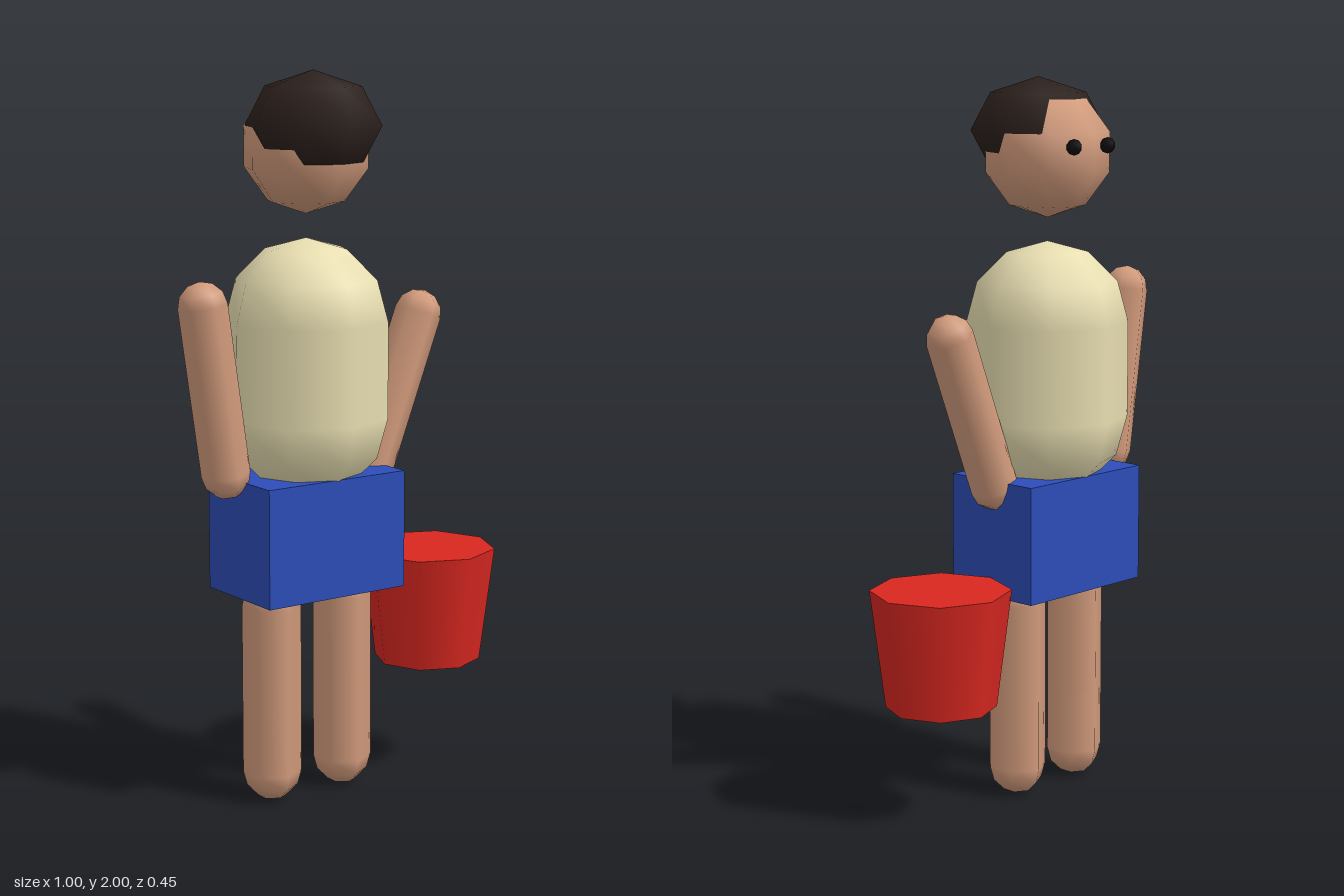
import * as THREE from 'three';

const CX = -0.113; // centre line of the figure

const mat = (color) => new THREE.MeshStandardMaterial({ color });
const skin = mat(0xd29b7c);
const cream = mat(0xe9dfb2);
const blue = mat(0x2c4db8);
const red = mat(0xd92720);
const darkHair = mat(0x2a1f1b);
const black = mat(0x0c0c0c);

export function createModel() {
  const group = new THREE.Group();

  function add(name, geometry, material, x, y, z = 0) {
    const mesh = new THREE.Mesh(geometry, material);
    mesh.name = name;
    mesh.position.set(x, y, z);
    group.add(mesh);
    return mesh;
  }

  // Rounded limb with corners facing front and back
  const capsule = (radius, total, sides) =>
    new THREE.CapsuleGeometry(radius, total - 2 * radius, 3, sides).rotateY(Math.PI / 2);

  // Torso and shorts
  add('torso', capsule(0.224, 0.71, 8), cream, CX, 1.2);
  add('shorts', new THREE.BoxGeometry(0.445, 0.325, 0.298), blue, CX, 0.753);

  // Legs
  for (const [name, side] of [['leftLeg', 1], ['rightLeg', -1]]) {
    add(name, capsule(0.081, 0.635, 6), skin, CX + side * 0.118, 0.32);
  }

  // Arms, leaning outwards
  add('leftArm', capsule(0.066, 0.588, 6), skin, 0.182, 1.11).rotation.z = -0.375;
  add('rightArm', capsule(0.066, 0.594, 6), skin, -0.408, 1.166).rotation.z = 0.145;

  // Head, with the hair as a flattened ball set towards the back
  add('head', new THREE.SphereGeometry(0.178, 8, 5), skin, CX, 1.797);
  add('hair', new THREE.SphereGeometry(0.185, 8, 4), darkHair, CX, 1.855, 0.035)
    .scale.y = 0.145 / 0.185;

  // Eyes
  for (const [name, side] of [['eyeA', -1], ['eyeB', 1]]) {
    const eye = new THREE.SphereGeometry(0.022, 6, 5).rotateY(Math.PI / 2);
    add(name, eye, black, CX + side * 0.067, 1.818, -0.158);
  }

  // Bucket
  add('bucket', new THREE.CylinderGeometry(0.192, 0.151, 0.325, 8), red, 0.306, 0.483);

  return group;
}
